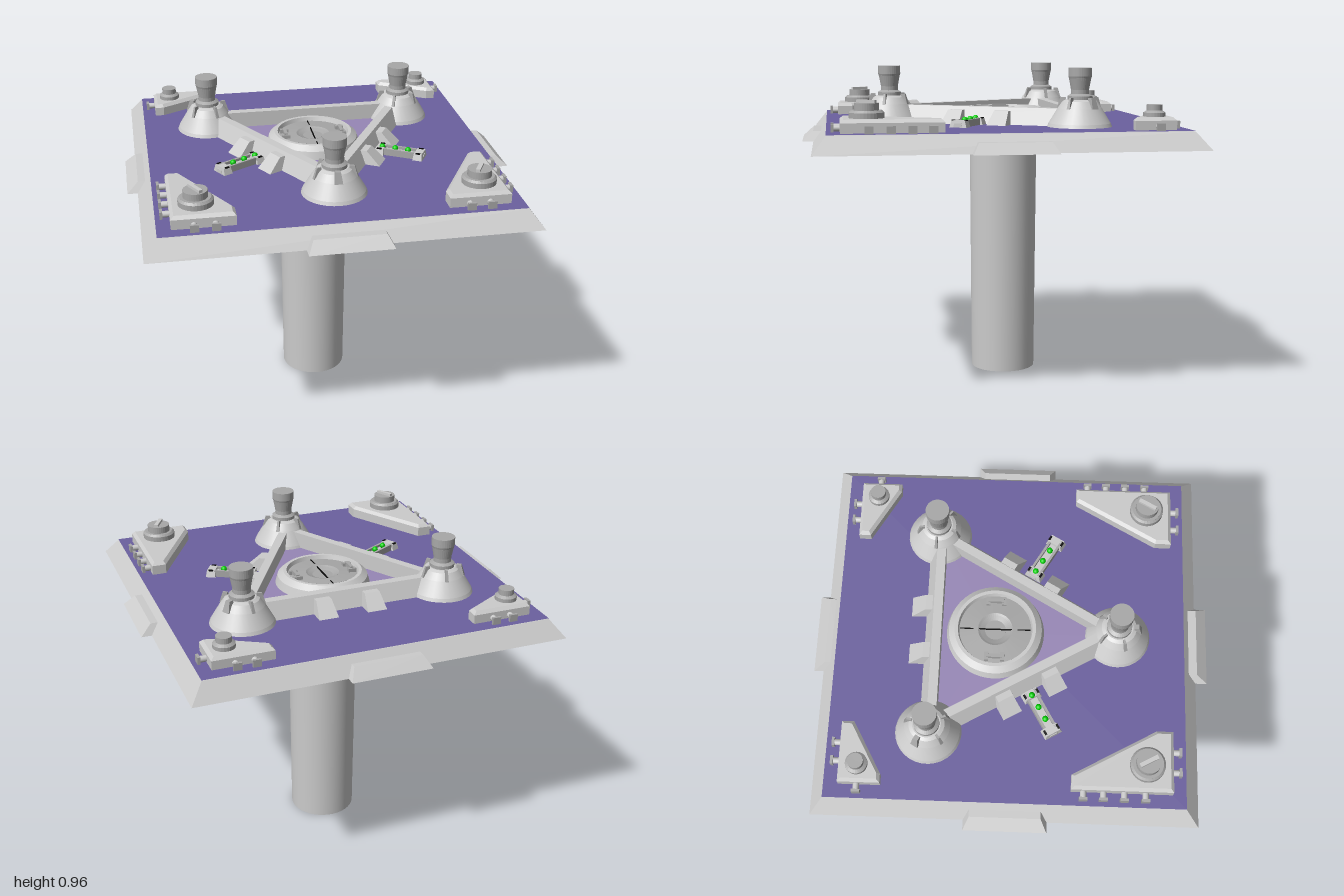
import * as THREE from 'three';

const material = (color, extra = {}) => new THREE.MeshStandardMaterial({ color, ...extra });
const grey = material(0xcccccc);
const flat = material(0xcccccc, { flatShading: true });
const purple = material(0x6b609f);
const lilac = material(0x9787b6);
const olive = material(0x5a5200);
const black = material(0x050505);
const green = material(0x00d000);
const dark = material(0xa8a8a8, { flatShading: true });

const DECK = 1.83;
const CZ = -0.05; // centre of the triangular assembly

function add(parent, name, geometry, mat, x = 0, y = 0, z = 0, ry = 0) {
  const mesh = new THREE.Mesh(geometry, mat);
  mesh.name = name;
  mesh.position.set(x, y, z);
  mesh.rotation.y = ry;
  parent.add(mesh);
  return mesh;
}

function group(parent, name, x = 0, y = 0, z = 0, ry = 0) {
  const g = new THREE.Group();
  g.name = name;
  g.position.set(x, y, z);
  g.rotation.y = ry;
  parent.add(g);
  return g;
}

// Box standing on y = 0 whose top has its own size and z shift
function taper(w0, d0, w1, d1, h, shift = 0) {
  const geo = new THREE.BoxGeometry(1, 1, 1);
  const p = geo.attributes.position;
  for (let i = 0; i < p.count; i++) {
    const top = p.getY(i) > 0;
    p.setXYZ(i, p.getX(i) * (top ? w1 : w0), top ? h : 0,
      p.getZ(i) * (top ? d1 : d0) + (top ? shift : 0));
  }
  geo.computeVertexNormals();
  return geo;
}

// Turned part; each segment keeps crisp edges along its profile
function turned(points, segments = 32) {
  const pts = [];
  points.forEach(([r, y], i) => {
    const v = new THREE.Vector2(r, y);
    pts.push(v);
    if (i > 0 && i < points.length - 1) pts.push(v.clone().add(new THREE.Vector2(0, 0.0001)));
  });
  return new THREE.LatheGeometry(pts, segments);
}

// Bevelled slab from a floor outline of [x, z] points
function slab(outline, h, bevel) {
  const inset = new THREE.Shape(outline.map(([x, z]) => new THREE.Vector2(x, z)));
  const geo = new THREE.ExtrudeGeometry(inset, {
    depth: h, bevelEnabled: true, bevelSize: bevel, bevelOffset: -bevel,
    bevelThickness: bevel, bevelSegments: 1,
  });
  geo.rotateX(Math.PI / 2);
  return geo.translate(0, h, 0);
}

function addPlate(root) {
  const z = -0.006;
  add(root, 'plateRim', taper(1.09, 1.09, 1.012, 1.012, 0.05), flat, 0, 1.78, z);
  add(root, 'deck', new THREE.PlaneGeometry(1.012, 1.012).rotateX(-Math.PI / 2), purple, 0, DECK + 0.002, z);
  add(root, 'underside', new THREE.PlaneGeometry(1.09, 1.09).rotateX(Math.PI / 2), olive, 0, 1.778, z);
  for (let i = 0; i < 4; i++) {
    const side = group(root, 'edgeTabGroup', 0, 1.78, z + 0.003, i * Math.PI / 2);
    add(side, 'edgeTab', taper(0.235, 0.08, 0.2, 0.045, 0.03, -0.015), flat, 0, 0, 0.535);
  }
}

function addShaft(root) {
  add(root, 'shaft', new THREE.CylinderGeometry(0.105, 0.1, 0.75, 40, 1, true), grey, 0, 1.415, CZ);
  add(root, 'shaftEnd', new THREE.CircleGeometry(0.1, 40).rotateX(Math.PI / 2), black, 0, 1.041, CZ);
  add(root, 'shaftCollar', new THREE.RingGeometry(0.1, 0.13, 40).rotateX(Math.PI / 2), grey, 0, 1.776, CZ);
}

function addHatch(root) {
  const hatch = group(root, 'hatch', 0, DECK, CZ);
  add(hatch, 'hatchRing', turned([[0.143, 0], [0.135, 0.028], [0.118, 0.042], [0.108, 0.042], [0.103, 0.025]], 48), grey);
  add(hatch, 'hatchDoor', turned([[0.105, 0.03], [0.05, 0.034], [0.044, 0.031], [0.03, 0.026], [0, 0.026]], 48), dark);
  add(hatch, 'doorSeam', new THREE.BoxGeometry(0.003, 0.004, 0.204), black, 0, 0.031, 0);
  for (const s of [-1, 1]) {
    add(hatch, 'doorHandle', new THREE.BoxGeometry(0.01, 0.012, 0.045), dark, s * 0.086, 0.04, 0);
    for (const e of [-1, 1])
      add(hatch, 'handleFoot', new THREE.BoxGeometry(0.025, 0.012, 0.012), dark, s * 0.086, 0.036, e * 0.023);
  }
}

function addPylon(parent) {
  const pylon = group(parent, 'pylon', 0, 0, 0.355);
  add(pylon, 'pylonBase', turned([[0.095, 0], [0.09, 0.012], [0.064, 0.055], [0.05, 0.075], [0.04, 0.08], [0, 0.08]]), grey);
  add(pylon, 'pylonPost', turned([[0.036, 0.078], [0.036, 0.09], [0.026, 0.096], [0.026, 0.108], [0.032, 0.14],
    [0.034, 0.146], [0.034, 0.17], [0, 0.17]]), dark);
  // five radial fins, the outward one larger
  for (let i = 0; i < 5; i++) {
    const arm = group(pylon, 'finArm', 0, 0, 0, i * Math.PI * 2 / 5);
    const w = i === 0 ? 0.024 : 0.01;
    add(arm, 'fin', taper(w, 0.026, w * 0.6, 0.014, 0.032, -0.004), dark, 0, 0.054, 0.054);
  }
}

function addLightStrip(parent) {
  const strip = group(parent, 'lightStrip', 0, 0, -0.28);
  add(strip, 'stripBed', taper(0.03, 0.15, 0.022, 0.15, 0.014), flat);
  for (const s of [-1, 1]) {
    add(strip, 'stripEnd', taper(0.055, 0.03, 0.042, 0.024, 0.022), flat, 0, 0, s * 0.06);
    add(strip, 'stripRail', new THREE.BoxGeometry(0.007, 0.022, 0.14), dark, s * 0.015, 0.011, 0);
    for (const e of [-1, 1])
      add(strip, 'stripSlot', new THREE.BoxGeometry(0.006, 0.003, 0.014), black, s * 0.02, 0.022, e * 0.06);
  }
  for (let i = -1; i <= 1; i++)
    add(strip, 'lamp', new THREE.SphereGeometry(0.009, 12, 8), green, 0, 0.021, 0.016 + i * 0.04);
}

function addTriangle(root) {
  const frame = group(root, 'triangleFrame', 0, DECK, CZ);
  // triangular floor between the beams
  const floor = new THREE.CircleGeometry(0.355, 3, -Math.PI / 2).rotateX(-Math.PI / 2);
  add(frame, 'triangleFloor', floor, lilac, 0, 0.004, 0);
  for (let i = 0; i < 3; i++) {
    const side = group(frame, 'triangleSide', 0, 0, 0, i * Math.PI * 2 / 3);
    addPylon(side);
    add(side, 'beam', taper(0.5, 0.05, 0.5, 0.026, 0.052, 0.012), flat, 0, 0, -0.18);
    for (const s of [-1, 1])
      add(side, 'buttress', taper(0.06, 0.065, 0.046, 0.02, 0.042, 0.022), flat, s * 0.074, 0, -0.217);
    if (i > 0) addLightStrip(side);
  }
}

// Stub pipe running along x, or along z
function addStub(parent, x, z, alongX) {
  const geo = new THREE.CylinderGeometry(0.009, 0.009, 0.03, 12);
  if (alongX) geo.rotateZ(Math.PI / 2);
  else geo.rotateX(Math.PI / 2);
  add(parent, 'stubPipe', geo, grey, x, 0.012, z);
  const cap = new THREE.BoxGeometry(alongX ? 0.008 : 0.024, 0.022, alongX ? 0.024 : 0.008);
  add(parent, 'stubFlange', cap, dark, x + (alongX ? Math.sign(x) * 0.012 : 0), 0.012,
    z + (alongX ? 0 : Math.sign(z) * 0.012));
}

function addCorners(root) {
  for (const s of [-1, 1]) {
    const back = group(root, 'backBracket', 0, DECK, 0);
    add(back, 'bracketBody', slab([[0.467, -0.47], [0.292, -0.47], [0.292, -0.435], [0.44, -0.352], [0.467, -0.352]]
      .map(([x, z]) => [s * x, z]), 0.028, 0.009), flat);
    add(back, 'bracketKnob', turned([[0.031, 0.034], [0.031, 0.048], [0.022, 0.054], [0.022, 0.07], [0, 0.07]], 24), dark,
      s * 0.417, 0, -0.418);
    for (const x of [0.403, 0.35]) addStub(back, s * x, -0.479, false);
    addStub(back, s * 0.477, -0.418, true);

    const front = group(root, 'frontBracket', 0, DECK, 0);
    add(front, 'bracketBody', slab([[0.467, 0.178], [0.425, 0.178], [0.292, 0.415], [0.292, 0.462], [0.467, 0.462]]
      .map(([x, z]) => [s * x, z]), 0.03, 0.009), flat);
    add(front, 'bracketDial', turned([[0.049, 0.036], [0.049, 0.054], [0.043, 0.06], [0.034, 0.06], [0.034, 0.08], [0, 0.08]]),
      dark, s * 0.394, 0, 0.388);
    add(front, 'dialBar', new THREE.BoxGeometry(0.012, 0.01, 0.056), flat, s * 0.394, 0.083, 0.388, -s * 0.5);
    for (const z of [0.212, 0.268, 0.326, 0.385]) addStub(front, s * 0.477, z, true);
    for (const x of [0.406, 0.348]) addStub(front, s * x, 0.471, false);
  }
}

export function createModel() {
  const root = new THREE.Group();
  root.name = 'pedestalPlatform';
  addPlate(root);
  addShaft(root);
  addTriangle(root);
  addHatch(root);
  addCorners(root);
  // lathe profiles run top or bottom first, so show both faces
  for (const m of [grey, dark]) m.side = THREE.DoubleSide;
  return root;
}
